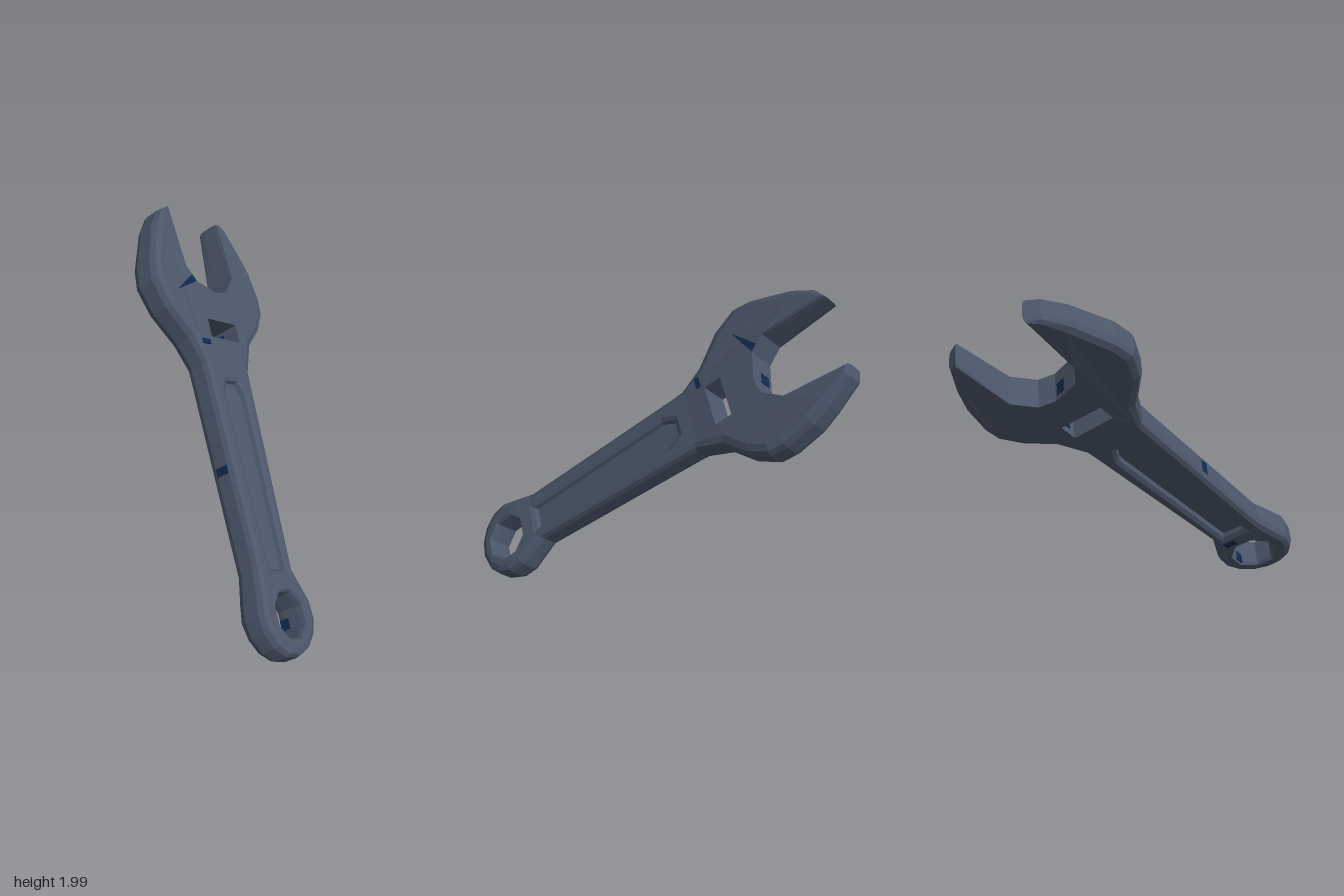
import * as THREE from 'three';

const steel = new THREE.MeshStandardMaterial({ color: 0x4a5568, flatShading: true });
steel.name = 'slate steel';
const navy = new THREE.MeshStandardMaterial({ color: 0x10294d, flatShading: true });
navy.name = 'navy paint';

// half thickness of ring and head along the tool: [position, half thickness]
const THICKNESS = [[-1.45, 0.085], [-1.2, 0.097], [-1.1, 0.095], [-0.93, 0.082], [0.28, 0.082],
  [0.48, 0.096], [0.95, 0.1], [1.36, 0.08]];
function tapered(s) {
  for (let i = 1; i < THICKNESS.length; i++) {
    const [a, ha] = THICKNESS[i - 1], [b, hb] = THICKNESS[i];
    if (s <= b) return THREE.MathUtils.lerp(ha, hb, Math.max(0, (s - a) / (b - a)));
  }
  return 0.08;
}

// the tool leans slightly out of its main plane toward the ring end
const lean = (s) => 0.005 - 0.036 * (s - 1.33);

function deform(geometry, scale) {
  const p = geometry.attributes.position;
  for (let i = 0; i < p.count; i++) {
    const s = p.getY(i);
    p.setZ(i, p.getZ(i) * scale(s) + lean(s));
  }
  geometry.computeVertexNormals();
  return geometry;
}

function arc(cx, cy, r, from, to, n) {
  return Array.from({ length: n + 1 }, (_, i) => {
    const a = THREE.MathUtils.degToRad(from + ((to - from) * i) / n);
    return [cx + r * Math.cos(a), cy + r * Math.sin(a)];
  });
}

// moves each point of a loop into the solid by its own bevel width
function inset(loop, bevel, amount) {
  const edgeNormal = ([ax, ay], [bx, by]) => new THREE.Vector2(ay - by, bx - ax).normalize();
  return loop.map((p, i) => {
    const n1 = edgeNormal(loop.at(i - 1), p), n2 = edgeNormal(p, loop[(i + 1) % loop.length]);
    const k = (amount * (p[2] ?? bevel)) / Math.max(0.5, 1 + n1.dot(n2));
    return new THREE.Vector2(p[0] + (n1.x + n2.x) * k, p[1] + (n1.y + n2.y) * k);
  });
}

// plate with one hole; points may carry a bevel width as third value
function slab(outline, hole, bevel, holeBevel, half) {
  const loops = [[outline, bevel], [[...hole].reverse(), holeBevel]];
  const layers = [[1, -1], [0.29, -0.85], [0, -0.5], [0, 0.5], [0.29, 0.85], [1, 1]];
  const position = [];
  const push = (p, z) => position.push(p.x, p.y, z);
  // rounded side walls
  for (const [loop, width] of loops) {
    for (let l = 1; l < layers.length; l++) {
      const [[a0, z0], [a1, z1]] = [layers[l - 1], layers[l]];
      const low = inset(loop, width, a0), high = inset(loop, width, a1);
      for (let i = 0; i < loop.length; i++) {
        const j = (i + 1) % loop.length;
        push(low[i], z0); push(low[j], z0); push(high[j], z1);
        push(low[i], z0); push(high[j], z1); push(high[i], z1);
      }
    }
  }
  // flat faces
  const [face, opening] = loops.map(([loop, width]) => inset(loop, width, 1));
  const all = [...face, ...opening];
  for (const [a, b, c] of THREE.ShapeUtils.triangulateShape(face, [opening])) {
    push(all[a], 1); push(all[b], 1); push(all[c], 1);
    push(all[c], -1); push(all[b], -1); push(all[a], -1);
  }
  const geometry = new THREE.BufferGeometry();
  geometry.setAttribute('position', new THREE.Float32BufferAttribute(position, 3));
  return deform(geometry, half);
}

function add(group, name, geometry, material) {
  const mesh = new THREE.Mesh(geometry, material);
  mesh.name = name;
  group.add(mesh);
}

export function createModel() {
  const model = new THREE.Group();
  model.name = 'wrench';
  const tool = new THREE.Group();
  tool.name = 'tiltedTool';
  model.add(tool);

  // head: neck, upper jaw, sharp edged mouth, lower jaw, with the worm slot
  const head = slab([
    [0.246, 0.25, 0.036], [0.246, 0.31, 0.036], [0.318, 0.46], [0.473, 0.63], [0.542, 0.79], [0.522, 0.92],
    [0.415, 1.18], [0.325, 1.30, 0.03], [0.24, 1.345, 0.015], [0.244, 0.925, 0], [0.173, 0.83, 0],
    [0.005, 0.785, 0], [-0.1, 0.805, 0], [-0.204, 0.925, 0], [-0.228, 1.33, 0.012], [-0.295, 1.305, 0.025],
    [-0.39, 1.14], [-0.44, 1.02], [-0.475, 0.83], [-0.467, 0.72], [-0.382, 0.59], [-0.247, 0.47],
    [-0.168, 0.29, 0.036], [-0.166, 0.25, 0.036],
  ], [[-0.115, 0.472], [0.155, 0.472], [0.155, 0.588], [-0.115, 0.588]], 0.052, 0, tapered);
  add(tool, 'head', head, steel);

  // handle with a long recess down to a thin web
  const handle = slab(
    [[0.243, -1.05], [0.243, 0.4], [-0.164, 0.4], [-0.164, 0.28], [-0.088, -1.05]],
    [[-0.01, -0.96], [0.125, -0.96], [0.125, 0.12], [0.085, 0.2], [-0.01, 0.2], [-0.05, 0.12]],
    0.036, 0.036, () => 0.085);
  add(tool, 'handle', handle, steel);
  const web = new THREE.BoxGeometry(0.21, 1.22, 0.095).translate(0.055, -0.36, 0);
  add(tool, 'handleWeb', deform(web, () => 1), steel);

  // ring end with an eight sided hole
  const ring = slab(
    [[0.246, -0.94], [-0.095, -0.94], ...arc(0.058, -1.2, 0.246, 165, 385, 9)],
    arc(0.05, -1.21, 0.138, 22.5, 337.5, 7), 0.045, 0.015, tapered);
  add(tool, 'ringEnd', ring, steel);

  // small painted marks
  const triangle = new THREE.ExtrudeGeometry(
    new THREE.Shape([[0.371, 0.745], [0.21, 0.868], [0.178, 0.83]].map(([x, y]) => new THREE.Vector2(x, y))),
    { depth: 0.008, bevelEnabled: false });
  triangle.translate(0, 0, -0.103);
  add(tool, 'headMark', deform(triangle, () => 1), navy);
  const marks = [
    ['edgeMark', [0.008, 0.05, 0.08], [0.242, -0.34, 0], 0],
    ['mouthMark', [0.06, 0.008, 0.08], [0.05, 0.797, 0.03], 0.26],
    ['neckMark', [0.07, 0.03, 0.009], [0.215, 0.435, -0.093], 0],
    ['slotMark', [0.008, 0.05, 0.05], [-0.115, 0.54, 0.03], 0],
    ['ringFaceMark', [0.08, 0.045, 0.009], [-0.015, -1.02, 0.089], 0],
    ['ringHoleMark', [0.008, 0.06, 0.06], [-0.0775, -1.235, 0.055], 0],
  ];
  for (const [name, size, place, turn] of marks) {
    const plate = new THREE.BoxGeometry(...size).rotateZ(turn).translate(...place);
    add(tool, name, deform(plate, () => 1), navy);
  }

  // lean the tool: width, length and thickness directions
  const r = Math.SQRT1_2, c = Math.sqrt(3) / 2;
  tool.quaternion.setFromRotationMatrix(new THREE.Matrix4().makeBasis(
    new THREE.Vector3(0, 0.5, c), new THREE.Vector3(-r, r * c, -r / 2), new THREE.Vector3(-r, -r * c, r / 2)));
  tool.position.set(0, 1, 0);
  return model;
}
